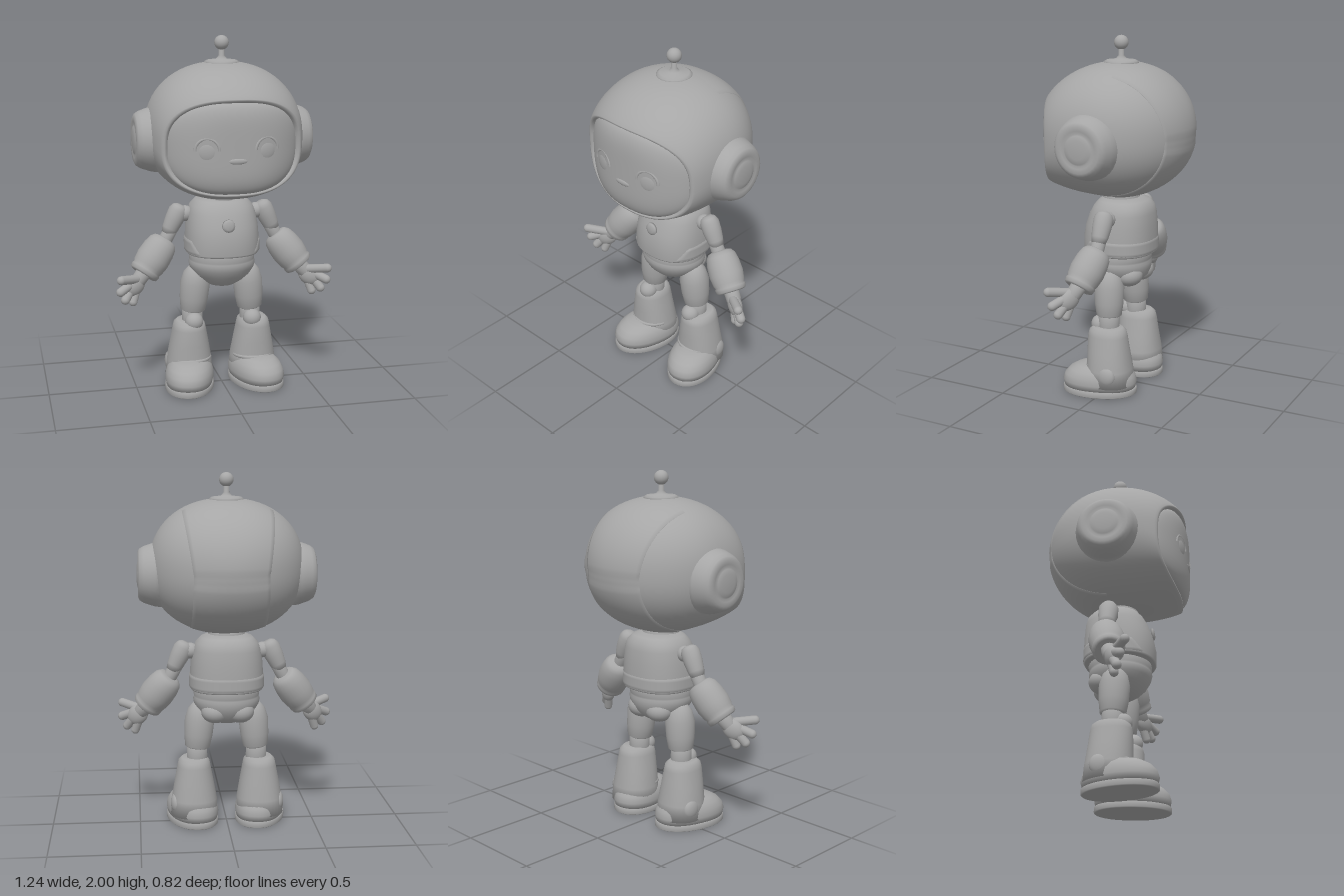
import * as THREE from 'three';
import { mergeVertices } from 'three/addons/utils/BufferGeometryUtils.js';

const grey = new THREE.MeshStandardMaterial({ color: 0xa6a6a6 });
grey.name = 'grey shell';

const V = (x, y, z) => new THREE.Vector3(x, y, z);
const spow = (v, e) => Math.sign(v) * Math.abs(v) ** e;

function add(parent, name, geometry, x = 0, y = 0, z = 0) {
  const mesh = new THREE.Mesh(geometry, grey);
  mesh.name = name;
  mesh.position.set(x, y, z);
  parent.add(mesh);
  return mesh;
}

function group(parent, name) {
  const g = new THREE.Group();
  g.name = name;
  parent.add(g);
  return g;
}

// Smooth surface from fn(u, v) in 0..1; it faces along du x dv
function grid(fn, nu, nv) {
  const pos = [], index = [];
  for (let j = 0; j <= nv; j++) {
    for (let i = 0; i <= nu; i++) pos.push(...fn(i / nu, j / nv).toArray());
  }
  for (let j = 0; j < nv; j++) {
    for (let i = 0; i < nu; i++) {
      const a = j * (nu + 1) + i, c = a + nu + 1;
      index.push(a, a + 1, c + 1, a, c + 1, c);
    }
  }
  let g = new THREE.BufferGeometry();
  g.setAttribute('position', new THREE.Float32BufferAttribute(pos, 3));
  g.setIndex(index);
  g = mergeVertices(g, 1e-5);
  g.computeVertexNormals();
  return g;
}

// Elliptic rings [y, rx, rz, cz] from bottom to top, closed at both ends
function loft(rings, power = 2, n = 32) {
  const first = rings[0], last = rings[rings.length - 1];
  const all = [[first[0], 0, 0, first[3]], ...rings, [last[0], 0, 0, last[3]]];
  const m = all.length - 1;
  return grid((u, v) => {
    const [y, rx, rz = rx, cz = 0] = all[Math.round(v * m)];
    const t = u * Math.PI * 2;
    return V(rx * spow(Math.cos(t), 2 / power), y, cz - rz * spow(Math.sin(t), 2 / power));
  }, n, m);
}

// Round limb from a to b; profile holds [fraction, radius]
function limb(parent, name, a, b, profile) {
  const dir = b.clone().sub(a), len = dir.length();
  const mesh = add(parent, name, loft(profile.map(([f, r]) => [f * len, r, r, 0]), 2, 24), ...a.toArray());
  mesh.quaternion.setFromUnitVectors(V(0, 1, 0), dir.normalize());
}

function ball(parent, name, x, y, z, rx, ry = rx, rz = rx) {
  return add(parent, name, new THREE.SphereGeometry(1, 24, 16).scale(rx, ry, rz), x, y, z);
}

// Point on the helmet in direction (x, y, z), pushed out by a factor
function onHelmet(x, y, z, push = 1) {
  const p = 2.2;
  const k = push / Math.hypot((Math.abs(x) ** p + Math.abs(y) ** p) ** (1 / p), z);
  return V(x * k * 0.432, 1.475 + y * k * (y > 0 ? 0.385 : 0.363), z * k * 0.41);
}

// Rim of the face opening
function opening(t, scale = 1) {
  const x = 0.38 * spow(Math.cos(t), 0.78) * scale;
  const h = spow(Math.sin(t), 0.78) * scale;
  const depth = h > 0 ? 0.115 : 0.085;
  return V(x, 1.43 + 0.26 * h, 0.27 + depth * (1 - (x / 0.38) ** 2));
}

function helmetPoint(u, v) {
  const t = u * Math.PI * 2, c = Math.cos(t), s = Math.sin(t);
  if (v <= 0.5) {
    const a = v * Math.PI;
    return onHelmet(c * Math.sin(a), s * Math.sin(a), -Math.cos(a));
  }
  if (v <= 0.901) {
    const e = onHelmet(c, s, 0), o = opening(t);
    const a = (v - 0.5) / 0.4 * Math.PI / 3;
    const k = (Math.cos(a) - 0.5) / 0.5;
    return V(o.x + (e.x - o.x) * k, o.y + (e.y - o.y) * k, o.z * Math.sin(a) / Math.sin(Math.PI / 3));
  }
  // rolled lip going back into the shell
  const k = (v - 0.9) / 0.1;
  const lip = opening(t, 1 - 0.11 * k);
  lip.z += 0.007 * Math.sin(k * Math.PI) - 0.06 * k * k;
  return lip;
}

function buildHead(root) {
  const head = group(root, 'head');
  add(head, 'helmet', grid(helmetPoint, 72, 40));

  // face bulging through the opening, its edge tucked behind the lip
  add(head, 'face', grid((u, v) => {
    const e = 1 - v ** 1.3;
    const p = opening(u * Math.PI * 2, e);
    p.z = 0.4 - 0.115 * Math.abs(p.x / 0.37) ** 2.4 - 0.05 * e ** 5 - 0.05 * e ** 30;
    return p;
  }, 64, 28));
  for (const s of [-1, 1]) {
    ball(head, 'eye', s * 0.16, 1.42, 0.37, 0.055, 0.06, 0.018).rotation.y = s * 0.25;
    const lid = add(head, 'eyelid', new THREE.TorusGeometry(0.064, 0.009, 8, 24, Math.PI), s * 0.16, 1.425, 0.376);
    lid.rotation.y = s * 0.25;

    // ear pad flaring into the shell, with a shallow raised centre
    const ear = loft([[0.33, 0.185], [0.4, 0.178], [0.43, 0.168], [0.462, 0.157], [0.484, 0.143],
      [0.493, 0.125], [0.492, 0.1], [0.487, 0.085], [0.493, 0.076], [0.499, 0.05]], 2, 32);
    add(head, 'ear', ear.rotateZ(-s * Math.PI / 2), 0, 1.44, 0);
  }
  ball(head, 'nose', 0, 1.368, 0.394, 0.055, 0.018, 0.012);

  // raised panel over the back, with a recessed band across it
  add(head, 'backPanel', grid((u, v) => {
    const a = 1.7 - v * 3.2;
    const edge = u === 0 || u === 1;
    const x = edge ? u * 2 - 1 : (u - 1 / 24) / (11 / 12) * 2 - 1;
    const y = Math.sin(a), z = -Math.cos(a);
    const w = 0.465 + 0.1 * Math.max(0, y);
    let push = y < 0 && y > -0.2 ? 1.001 : 1.009;
    if (edge || v === 1) push = 0.98;
    push -= 0.02 * Math.max(0, 1 - v * 5);
    const r = Math.sqrt(1 - (x * w) ** 2);
    return onHelmet(x * w, y * r, z * r, push);
  }, 24, 60));

  // antenna
  add(head, 'antennaBase', loft([[1.835, 0.1], [1.858, 0.095], [1.866, 0.08], [1.872, 0.03], [1.89, 0.016], [1.94, 0.015]], 2, 20));
  ball(head, 'antennaBall', 0, 1.96, 0, 0.04);
}

function buildBody(root) {
  const body = group(root, 'body');
  add(body, 'neck', loft([[1.05, 0.11], [1.1, 0.105], [1.16, 0.1]]));
  add(body, 'torso', loft([[0.785, 0.17, 0.165, 0], [0.79, 0.203, 0.193, 0], [0.8, 0.209, 0.2, 0], [0.88, 0.207, 0.2, 0],
    [0.95, 0.202, 0.192, -0.005], [1.02, 0.19, 0.176, -0.015], [1.06, 0.175, 0.16, -0.02],
    [1.09, 0.145, 0.135, -0.02], [1.105, 0.1, 0.1, -0.01]], 2.35, 48));
  // lower plate wrapping sides and back, with slanted ends at the front
  add(body, 'lowerPlate', grid((u, v) => {
    const cut = 0.62 + 0.5 * v;
    const t = cut + u * (Math.PI * 2 - 2 * cut);
    const r = (v === 0 || v === 1 || u === 0 || u === 1) ? 0.98 : 1.015;
    return V(0.209 * r * spow(Math.sin(t), 0.85), 0.795 + 0.085 * v, 0.2 * r * spow(Math.cos(t), 0.85));
  }, 40, 8));
  const button = add(body, 'chestButton', loft([[0, 0.037], [0.01, 0.035], [0.016, 0.022]], 2, 20), 0, 0.97, 0.18);
  button.rotation.x = Math.PI / 2 - 0.1;
  add(body, 'pelvis', loft([[0.59, 0.035, 0.045, 0], [0.6, 0.075, 0.08, -0.002], [0.625, 0.12, 0.118, -0.005],
    [0.66, 0.16, 0.152, -0.005], [0.7, 0.184, 0.17, 0], [0.73, 0.19, 0.176, 0.002], [0.742, 0.184, 0.17, 0.002],
    [0.752, 0.186, 0.173, 0.002], [0.78, 0.187, 0.176, 0], [0.8, 0.18, 0.17, 0]], 2, 40));
  for (const s of [-1, 1]) ball(body, 'seat', s * 0.07, 0.67, -0.085, 0.08, 0.065, 0.078);
}

function buildArm(root, s) {
  const arm = group(root, s > 0 ? 'leftArm' : 'rightArm');
  const P = (x, y, z) => V(s * x, y, z);
  ball(arm, 'shoulder', s * 0.205, 1.01, -0.02, 0.045);
  limb(arm, 'upperArm', P(0.23, 1.06, -0.02), P(0.305, 0.9, -0.02),
    [[0, 0.025], [0.06, 0.042], [0.2, 0.054], [0.5, 0.053], [0.82, 0.046], [1, 0.038]]);
  limb(arm, 'elbow', P(0.28, 0.935, -0.02), P(0.345, 0.82, -0.015), [[0, 0.038], [1, 0.04]]);
  limb(arm, 'cuff', P(0.318, 0.866, -0.025), P(0.46, 0.677, 0.025),
    [[0, 0.045], [0.03, 0.066], [0.12, 0.083], [0.3, 0.093], [0.55, 0.097], [0.76, 0.09], [0.82, 0.083],
      [0.86, 0.088], [0.95, 0.084], [0.98, 0.07], [0.95, 0.045]]);
  limb(arm, 'wrist', P(0.43, 0.715, 0.015), P(0.49, 0.645, 0.04), [[0, 0.045], [1, 0.042]]);
  const palm = ball(arm, 'palm', s * 0.505, 0.628, 0.05, 0.068, 0.056, 0.038);
  palm.rotation.set(0, -s * 0.45, -s * 0.75);
  // thumb and fingers as [name, base, tip, radius]
  const digits = [
    ['thumb', P(0.5, 0.665, 0.06), P(0.592, 0.682, 0.13), 0.025],
    ['finger', P(0.53, 0.638, 0.065), P(0.594, 0.608, 0.105), 0.025],
    ['finger', P(0.525, 0.612, 0.055), P(0.566, 0.555, 0.085), 0.025],
    ['finger', P(0.498, 0.6, 0.045), P(0.52, 0.535, 0.062), 0.024],
  ];
  for (const [name, a, b, r] of digits) {
    const dir = b.clone().sub(a);
    const mid = a.clone().add(b).multiplyScalar(0.5);
    const digit = add(arm, name, new THREE.CapsuleGeometry(r, dir.length(), 6, 14), ...mid.toArray());
    digit.quaternion.setFromUnitVectors(V(0, 1, 0), dir.normalize());
  }
}

function buildLeg(root, s) {
  const leg = group(root, s > 0 ? 'leftLeg' : 'rightLeg');
  leg.position.x = s * 0.188;
  limb(leg, 'thigh', V(-s * 0.02, 0.44, -0.01), V(-s * 0.042, 0.7, 0),
    [[0, 0.055], [0.04, 0.071], [0.3, 0.081], [0.65, 0.085], [0.88, 0.07], [1, 0.045]]);
  add(leg, 'knee', loft([[0.33, 0.06], [0.45, 0.058]], 2, 24), -s * 0.018, 0, -0.01);
  ball(leg, 'kneeCap', -s * 0.018, 0.39, 0.045, 0.052, 0.052, 0.052);
  add(leg, 'bootShaft', loft([[0.06, 0.135, 0.135, -0.028], [0.15, 0.13, 0.128, -0.026], [0.25, 0.112, 0.12, -0.018],
    [0.34, 0.095, 0.113, -0.013], [0.37, 0.088, 0.105, -0.013], [0.387, 0.07, 0.085, -0.013]], 2.2));

  // foot turned slightly outward
  const foot = group(leg, 'foot');
  foot.rotation.y = s * 0.25;
  add(foot, 'shoe', loft([[0.035, 0.132, 0.204, 0.035], [0.07, 0.139, 0.212, 0.035], [0.105, 0.134, 0.202, 0.034],
    [0.135, 0.121, 0.178, 0.03], [0.158, 0.098, 0.14, 0.026], [0.17, 0.06, 0.09, 0.025]], 2.2, 40));
  add(foot, 'sole', loft([[0, 0.134, 0.206, 0.035], [0.005, 0.14, 0.213, 0.035], [0.03, 0.14, 0.213, 0.035],
    [0.037, 0.132, 0.206, 0.035]], 2.1, 40));
  const band = add(foot, 'instepBand', new THREE.TorusGeometry(0.114, 0.011, 8, 24, Math.PI), 0, 0.165, -0.012);
  band.rotation.x = Math.PI / 2;
  ball(leg, 'anklePad', s * 0.105, 0.13, -0.055, 0.032, 0.058, 0.055);
}

export function createModel() {
  const root = new THREE.Group();
  root.name = 'robotChild';
  buildHead(root);
  buildBody(root);
  for (const s of [-1, 1]) {
    buildArm(root, s);
    buildLeg(root, s);
  }
  return root;
}
